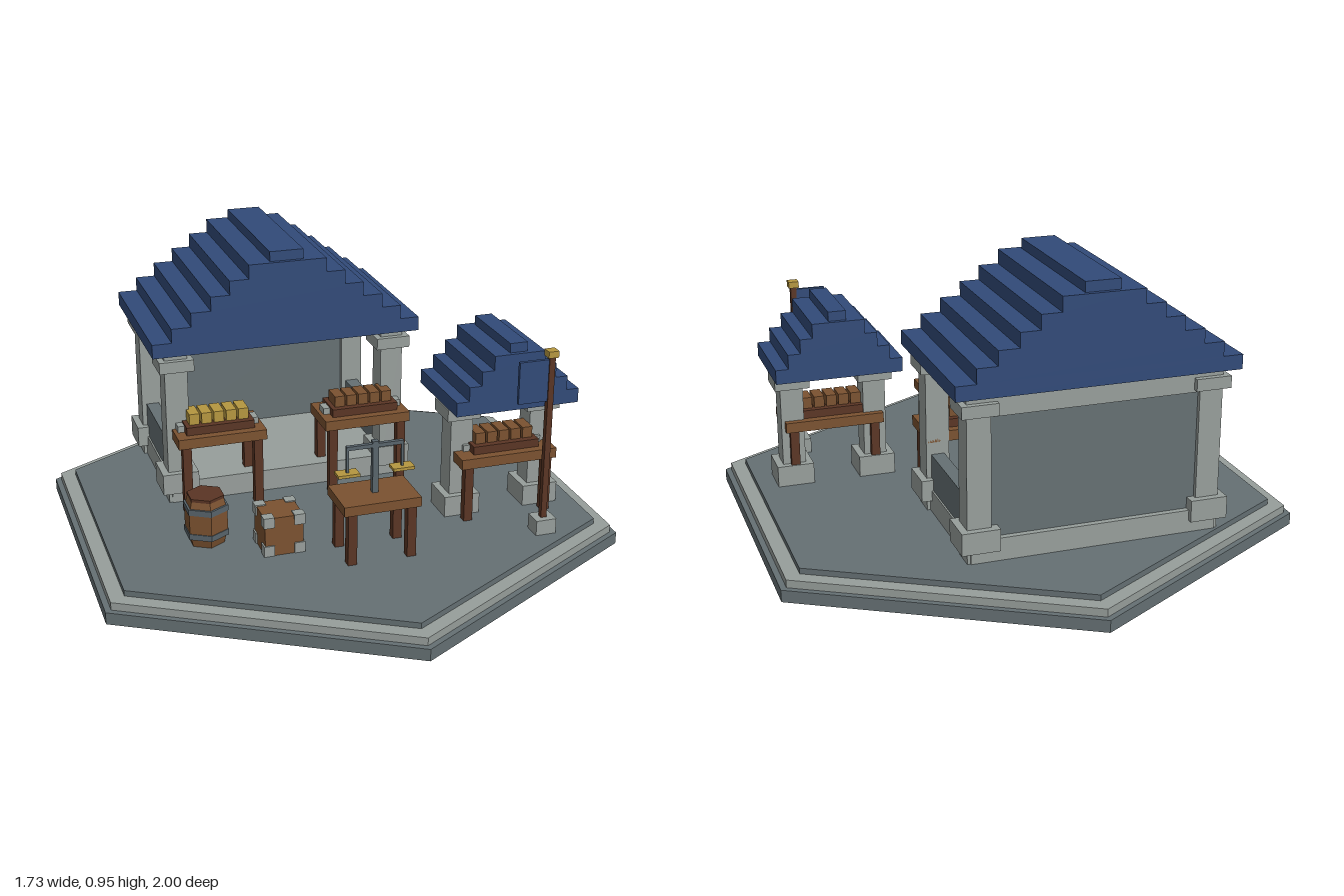
import * as THREE from 'three';

const mat = (name, color) => Object.assign(new THREE.MeshStandardMaterial({ color, flatShading: true }), { name });

export function createModel() {
  const root = new THREE.Group();
  root.name = 'marketSquare';
  const slate = mat('slate', 0x657073), stone = mat('paleStone', 0x979e9b), navy = mat('navyRoof', 0x314a78);
  const wood = mat('wood', 0x7b5230), darkWood = mat('darkWood', 0x5a3524), gold = mat('gold', 0xb5963f);
  const steel = mat('steel', 0x58646b);

  const add = (parent, name, geo, m, x = 0, y = 0, z = 0) => {
    const mesh = new THREE.Mesh(geo, m);
    mesh.name = name;
    mesh.position.set(x, y, z);
    parent.add(mesh);
    return mesh;
  };
  // Box centred on x and z, standing between heights y0 and y1
  const block = (parent, name, m, x, z, w, d, y0, y1) =>
    add(parent, name, new THREE.BoxGeometry(w, y1 - y0, d), m, x, (y0 + y1) / 2, z);
  const group = (name, x = 0, z = 0) => {
    const g = new THREE.Group();
    g.name = name;
    g.position.set(x, 0, z);
    root.add(g);
    return g;
  };

  const GROUND = 0.085;

  // Hexagonal plinth in three steps
  const plinth = group('plinth');
  [[1, 0, 0.04, slate], [0.978, 0.04, 0.066, stone], [0.923, 0.066, GROUND, slate]].forEach(([r, y0, y1, m], i) =>
    add(plinth, 'plinthStep' + (i + 1), new THREE.CylinderGeometry(r, r, y1 - y0, 6), m, 0, (y0 + y1) / 2, 0));

  // Roof of stacked slabs with a ridge cap
  const roof = (parent, y0, step, halfWidths, depth, ridgeHalf, ridgeHeight) => {
    halfWidths.forEach((h, i) =>
      block(parent, 'roofCourse' + (i + 1), navy, 0, 0, 2 * h, depth, y0 + i * step, y0 + (i + 1) * step));
    const top = y0 + halfWidths.length * step;
    block(parent, 'roofRidge', navy, 0, 0, 2 * ridgeHalf, depth - 0.03, top, top + ridgeHeight);
  };
  // Column with a base block and a capital
  const column = (parent, x, z, yTop, base, cap) => {
    block(parent, 'columnShaft', stone, x, z, 0.078, 0.08, GROUND, yTop);
    block(parent, 'columnBase', stone, x, z, 0.125, 0.125, ...base);
    block(parent, 'columnCapital', stone, x, z, 0.118, 0.118, ...cap);
  };

  // Main hall: floor slab, four columns, back wall, low side walls
  const hall = group('hall', -0.112, -0.35);
  block(hall, 'floorSlab', stone, 0, 0, 0.82, 0.52, GROUND, 0.16);
  for (const sx of [-1, 1]) {
    for (const sz of [-1, 1]) column(hall, sx * 0.382, sz * 0.215, 0.63, [0.125, 0.198], [0.565, 0.605]);
    block(hall, 'lowSideWall', slate, sx * 0.382, 0, 0.045, 0.36, 0.16, 0.28);
  }
  block(hall, 'backWall', slate, 0, -0.215, 0.7, 0.05, 0.16, 0.56);
  block(hall, 'backBeam', stone, 0, -0.215, 0.7, 0.08, 0.557, 0.63);
  roof(hall, 0.63, 0.0485, [0.466, 0.4, 0.333, 0.265, 0.2, 0.134], 0.585, 0.058, 0.034);

  // Small canopy on two columns
  const canopy = group('canopy', 0.53, 0.235);
  for (const s of [-1, 1]) column(canopy, s * 0.143, 0, 0.49, [GROUND, 0.157], [0.43, 0.472]);
  roof(canopy, 0.49, 0.0487, [0.215, 0.172, 0.13, 0.088], 0.32, 0.03, 0.032);

  // Table with four legs
  const table = (name, x, z, w, d, y0, y1) => {
    const g = group(name, x, z);
    block(g, 'tableTop', wood, 0, 0, w, d, y0, y1);
    for (const sx of [-1, 1]) for (const sz of [-1, 1])
      block(g, 'tableLeg', darkWood, sx * (w / 2 - 0.029), sz * (d / 2 - 0.02), 0.03, 0.03, GROUND, y0);
    return g;
  };
  // Market stall: table, tray and a row of goods
  const stall = (name, x, z, w, y1, goods) => {
    const g = table(name, x, z, w, 0.18, y1 - 0.035, y1);
    block(g, 'tray', darkWood, 0, 0, 0.235, 0.12, y1, y1 + 0.028);
    for (const s of [-1, 1]) block(g, 'trayEnd', stone, s * 0.128, 0, 0.024, 0.05, y1, y1 + 0.022);
    for (let i = -2; i <= 2; i++)
      block(g, 'goods', goods, i * 0.0425, 0, 0.035, 0.075, y1 + 0.028, y1 + 0.066);
  };
  stall('leftStall', -0.362, -0.085, 0.305, 0.356, gold);
  stall('rightStall', 0.152, -0.085, 0.305, 0.356, wood);
  stall('canopyStall', 0.53, 0.262, 0.34, 0.312, wood);

  // Weighing table with a balance
  const weigh = table('weighingTable', 0.02, 0.443, 0.257, 0.172, 0.26, 0.293);
  block(weigh, 'balancePost', steel, 0, 0, 0.02, 0.02, 0.293, 0.47);
  block(weigh, 'balanceBeam', steel, 0, 0, 0.19, 0.014, 0.448, 0.461);
  for (const s of [-1, 1]) {
    block(weigh, 'balanceHanger', steel, s * 0.092, 0, 0.008, 0.008, 0.37, 0.455);
    block(weigh, 'balancePan', gold, s * 0.092, 0, 0.072, 0.045, 0.362, 0.372);
  }

  // Crate with stone-grey corner caps
  const crate = group('crate', -0.263, 0.322);
  block(crate, 'crateBody', wood, 0, 0, 0.128, 0.128, GROUND, 0.218);
  for (const sx of [-1, 1]) for (const sz of [-1, 1]) for (const y of [0.104, 0.204])
    block(crate, 'crateCorner', stone, sx * 0.051, sz * 0.051, 0.036, 0.036, y - 0.018, y + 0.018);

  // Six-sided barrel with two hoops
  const barrel = group('barrel', -0.478, 0.215);
  const profile = [[0.06, 0.085], [0.073, 0.135], [0.073, 0.205], [0.06, 0.25]];
  for (let i = 0; i < 3; i++) {
    const [[r0, y0], [r1, y1]] = [profile[i], profile[i + 1]];
    add(barrel, 'barrelStaves', new THREE.CylinderGeometry(r1, r0, y1 - y0, 6), wood, 0, (y0 + y1) / 2, 0);
  }
  for (const y of [0.125, 0.212]) add(barrel, 'barrelHoop', new THREE.CylinderGeometry(0.076, 0.076, 0.02, 6), steel, 0, y, 0);
  add(barrel, 'barrelLid', new THREE.CylinderGeometry(0.063, 0.063, 0.01, 6), darkWood, 0, 0.25, 0);

  // Banner pole
  const pole = group('bannerPole', 0.595, 0.485);
  block(pole, 'poleFoot', stone, 0, 0, 0.07, 0.065, GROUND, 0.137);
  block(pole, 'poleShaft', darkWood, 0, 0, 0.02, 0.02, 0.137, 0.7);
  block(pole, 'poleFinial', gold, 0, 0, 0.035, 0.035, 0.7, 0.722);
  block(pole, 'banner', navy, -0.06, 0, 0.1, 0.012, 0.55, 0.692);

  return root;
}
